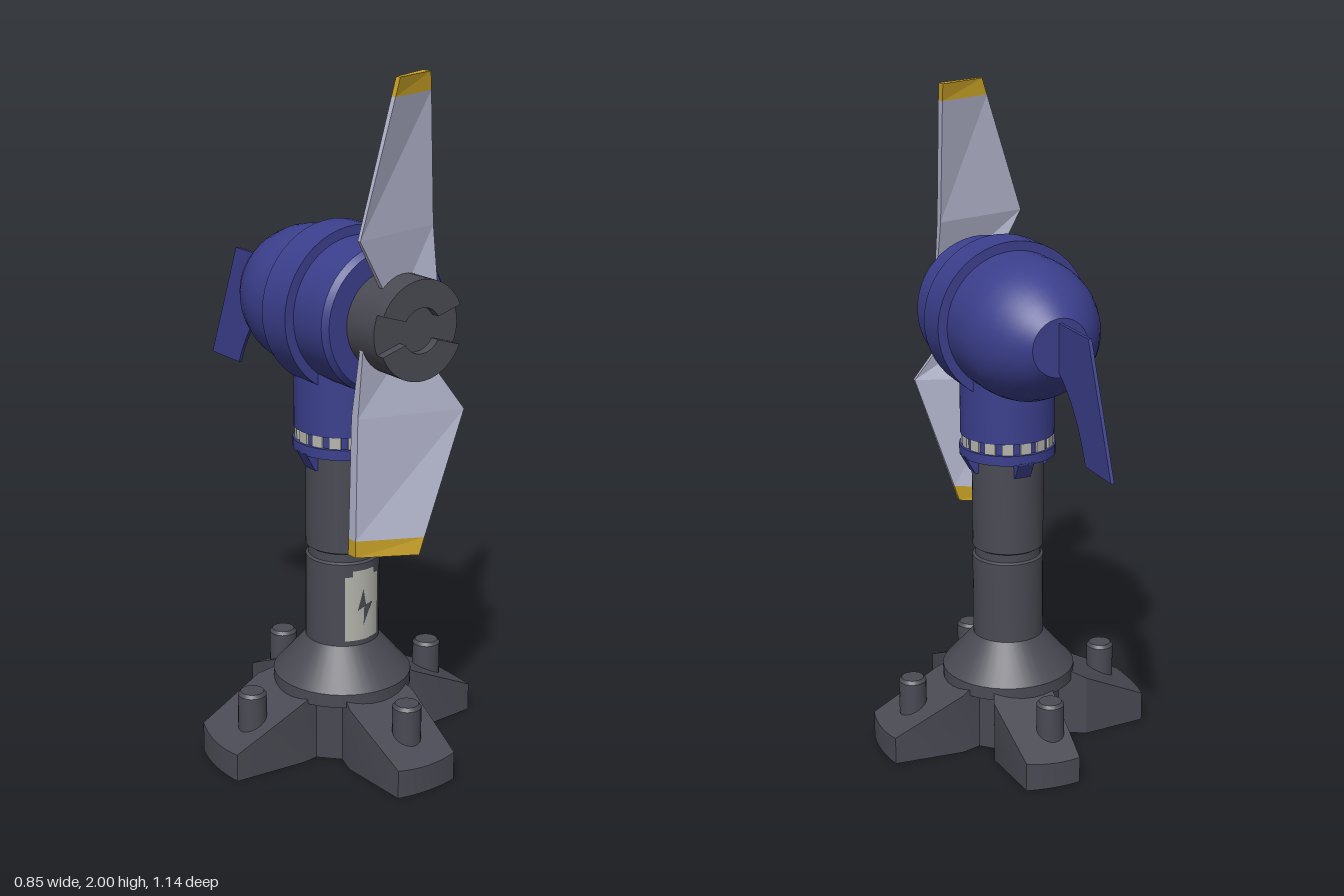
import * as THREE from 'three';
import { toCreasedNormals } from 'three/addons/utils/BufferGeometryUtils.js';

const paint = (color) => new THREE.MeshStandardMaterial({ color });
const dark = paint(0x4a4a54), blue = paint(0x3b3f8c), pale = paint(0xb4b6ce);
const gold = paint(0xc9a227), light = paint(0xb5b5ad);
const TOWER_Z = 0.143, AXIS_Y = 1.335;

function add(parent, name, geometry, material, x = 0, y = 0, z = 0) {
  const mesh = new THREE.Mesh(geometry, material);
  mesh.name = name;
  mesh.position.set(x, y, z);
  parent.add(mesh);
  return mesh;
}

// Turned part from [radius, height] pairs, bottom to top
function turned(profile, sides = 40) {
  const points = profile.map(([r, y]) => new THREE.Vector2(r, y));
  return toCreasedNormals(new THREE.LatheGeometry(points, sides), 0.5);
}

function extruded(shape, depth) {
  return toCreasedNormals(
    new THREE.ExtrudeGeometry(shape, { depth, bevelEnabled: false, curveSegments: 20 }), 0.5);
}

function polygon(points) {
  return new THREE.Shape(points.map(([x, y]) => new THREE.Vector2(x, y)));
}

// Four-cornered solid through sections of [x, y, z] corners, stacked upward
function loft(sections) {
  const out = [];
  const tri = (...corners) => corners.forEach((c) => out.push(...c));
  const quad = (a, b, c, d) => { tri(a, b, c); tri(a, c, d); };
  for (let i = 0; i + 1 < sections.length; i++) {
    const lo = sections[i], hi = sections[i + 1];
    for (let k = 0; k < 4; k++) {
      const n = (k + 1) % 4;
      quad(lo[k], lo[n], hi[n], hi[k]);
    }
  }
  const first = sections[0], last = sections[sections.length - 1];
  quad(first[3], first[2], first[1], first[0]);
  quad(...last);
  const g = new THREE.BufferGeometry();
  g.setAttribute('position', new THREE.Float32BufferAttribute(out, 3));
  g.computeVertexNormals();
  return g;
}

// Sloping foot with a rounded end, pointing to -z
function footGeometry(lo, hi) {
  const end = [];
  for (let i = 0; i <= 8; i++) {
    const s = hi + (lo - hi) * i / 8;
    end.push([s, Math.sqrt(0.427 ** 2 - s * s)]);
  }
  const shape = polygon([[-0.07, 0.05], [0.07, 0.05], [hi + 0.015, 0.2], ...end, [lo - 0.015, 0.2]]);
  const g = new THREE.ExtrudeGeometry(shape, { depth: 1, bevelEnabled: false });
  g.rotateX(-Math.PI / 2);
  const p = g.attributes.position;
  for (let i = 0; i < p.count; i++) {
    if (p.getY(i) > 0.5) p.setY(i, 0.08 + (0.427 + p.getZ(i)) * 0.49);
  }
  return toCreasedNormals(g, 0.5);
}

function buildTower(model) {
  const tower = new THREE.Group();
  tower.name = 'tower';
  tower.position.z = TOWER_Z;
  model.add(tower);

  // Base: back, left-hand, front and right-hand feet, each with an anchor bolt
  const widths = [[-0.05, 0.117], [-0.075, 0.14], [-0.1, 0.1], [-0.1, 0.095]];
  widths.forEach(([lo, hi], i) => {
    const foot = new THREE.Group();
    foot.name = 'foot';
    foot.rotation.y = i * Math.PI / 2;
    tower.add(foot);
    add(foot, 'footBody', footGeometry(lo, hi), dark);
    add(foot, 'anchorBolt', turned([[0, 0.05], [0.042, 0.05], [0.042, 0.22], [0.034, 0.23], [0, 0.23]], 20),
      dark, 0, 0, -0.32);
  });
  const core = add(tower, 'baseCore', new THREE.CylinderGeometry(0.18, 0.18, 0.2, 8), dark, 0, 0.1, 0);
  core.rotation.y = Math.PI / 8;

  // Column with flared foot and groove
  add(tower, 'column', turned([[0, 0.185], [0.205, 0.185], [0.205, 0.225], [0.109, 0.335], [0.109, 0.59],
    [0.101, 0.595], [0.101, 0.62], [0.109, 0.625], [0.109, 0.93], [0, 0.93]]), dark);

  // Curved battery plate on the column front
  const arc = (r, h, half) => new THREE.CylinderGeometry(r, r, h, 14, 1, true, -half, half * 2);
  add(tower, 'batteryPlate', arc(0.1115, 0.2, 0.55), light, 0, 0.452, 0);
  add(tower, 'batteryTerminal', arc(0.1115, 0.018, 0.34), light, 0, 0.561, 0);
  add(tower, 'powerMark', new THREE.ShapeGeometry(polygon([[-0.005, 0.057], [-0.025, -0.008], [-0.002, 0],
    [-0.004, -0.057], [0.026, 0.012], [0.004, 0.006]])), dark, 0, 0.455, 0.113);

  // Swivel collar with light studs and holding tabs
  add(tower, 'swivelCollar', turned([[0, 0.92], [0.146, 0.92], [0.146, 0.95], [0.134, 0.95], [0.134, 0.985],
    [0.143, 0.985], [0.143, 1.25]]), blue);
  const tab = extruded(polygon([[0.1, 0.87], [0.115, 0.87], [0.146, 0.925], [0.1, 0.925]]), 0.05);
  tab.translate(0, 0, -0.025);
  for (let i = 0; i < 4; i++) {
    add(tower, 'collarTab', tab, blue).rotation.y = i * Math.PI / 2;
  }
  for (let i = 0; i < 16; i++) {
    const a = i * Math.PI / 8;
    const stud = add(tower, 'collarStud', new THREE.BoxGeometry(0.034, 0.033, 0.02), light,
      Math.sin(a) * 0.13, 0.9675, Math.cos(a) * 0.13);
    stud.rotation.y = a;
  }
}

function buildNacelle(model) {
  const nacelle = new THREE.Group();
  nacelle.name = 'nacelle';
  nacelle.position.y = AXIS_Y;
  model.add(nacelle);

  // Housing with rounded tail and raised belt
  const shell = turned([[0, -0.235], [0.085, -0.235], [0.12, -0.205], [0.153, -0.165], [0.18, -0.12],
    [0.2, -0.07], [0.208, -0.03], [0.211, 0.01], [0.211, 0.335], [0.198, 0.353], [0, 0.353]], 48);
  add(nacelle, 'housing', shell.rotateX(Math.PI / 2), blue);
  const belt = turned([[0.2, 0.088], [0.239, 0.088], [0.239, 0.202], [0.2, 0.202]], 48);
  add(nacelle, 'belt', belt.rotateX(Math.PI / 2), blue);

  // Thin tail vane
  const vane = new THREE.Shape();
  vane.moveTo(0.2, 0.071);
  vane.lineTo(0.42, 0.071);
  vane.lineTo(0.568, -0.29);
  vane.lineTo(0.41, -0.29);
  vane.quadraticCurveTo(0.35, -0.14, 0.233, -0.07);
  vane.lineTo(0.2, -0.06);
  const vaneGeometry = extruded(vane, 0.01).translate(0, 0, -0.005).rotateY(Math.PI / 2);
  add(nacelle, 'tailVane', vaneGeometry, blue);
}

function buildRotor(model) {
  const rotor = new THREE.Group();
  rotor.name = 'rotor';
  rotor.position.y = AXIS_Y;
  model.add(rotor);

  // Hub with a bow-tie slot across its face
  const hub = turned([[0, 0.34], [0.14, 0.34], [0.14, 0.475], [0, 0.475]]);
  add(rotor, 'hub', hub.rotateX(Math.PI / 2), dark);
  const half = new THREE.Shape();
  half.absarc(0, 0, 0.14, 0.403, Math.PI - 0.403, false);
  half.absarc(0, 0, 0.063, Math.PI - 0.535, 0.535, true);
  const cap = extruded(half, 0.028);

  // Section corners: leading front, trailing front, trailing back, leading back
  const section = ([lx, ly, lz], [tx, ty, tz], lt, tt) => [
    [lx, ly - AXIS_Y, lz], [tx, ty - AXIS_Y, tz],
    [tx, ty - AXIS_Y, tz - tt], [lx, ly - AXIS_Y, lz - lt]];
  const root = section([-0.03, 1.37, 0.42], [0.127, 1.39, 0.41], 0.02, 0.015);
  const middle = section([-0.18, 1.59, 0.467], [0.124, 1.59, 0.385], 0.012, 0.03);
  const shoulder = section([-0.061, 1.95, 0.452], [0.119, 1.95, 0.372], 0.018, 0.034);
  const end = section([-0.045, 2.0, 0.45], [0.118, 2.0, 0.37], 0.018, 0.035);
  const blade = loft([root, middle, shoulder]), tip = loft([shoulder, end]);
  for (let i = 0; i < 2; i++) {
    const side = new THREE.Group();
    side.name = 'bladeSide';
    side.rotation.z = i * Math.PI;
    rotor.add(side);
    add(side, 'blade', blade, pale);
    add(side, 'bladeTip', tip, gold);
    add(side, 'hubCap', cap, dark, 0, 0, 0.474);
  }
}

export function createModel() {
  const model = new THREE.Group();
  model.name = 'windTurbine';
  buildTower(model);
  buildNacelle(model);
  buildRotor(model);
  return model;
}
